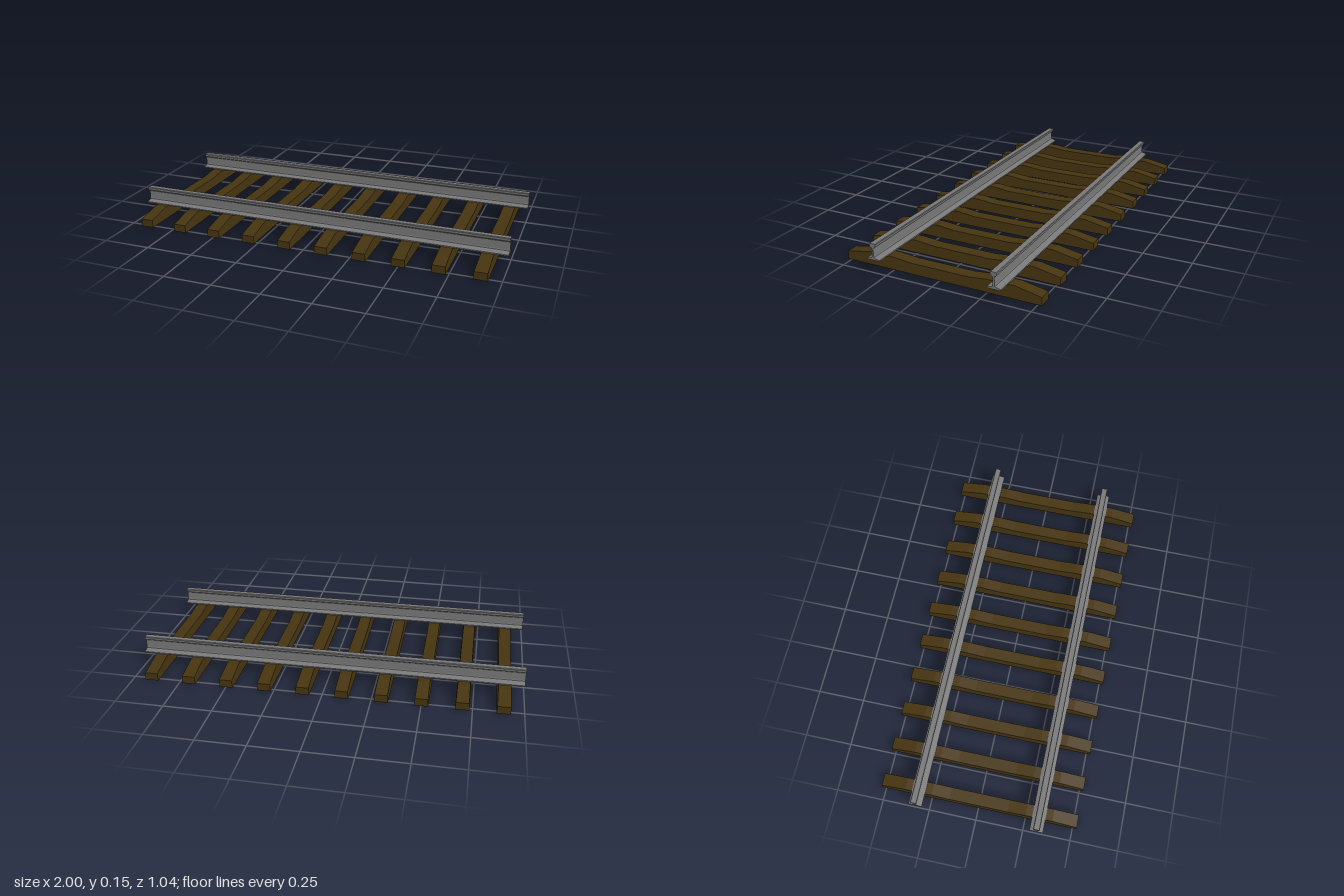
import * as THREE from 'three';

const steel = new THREE.MeshStandardMaterial({ color: 0x787878 });
const wood = new THREE.MeshStandardMaterial({ color: 0x46340f });

// Sweeps a symmetric cross-section (half given as [z, y], bottom to top) along x, centred.
function sweep(half, length) {
  const points = [
    ...half.map(([z, y]) => new THREE.Vector2(z, y)),
    ...half.slice().reverse().map(([z, y]) => new THREE.Vector2(-z, y)),
  ];
  const geometry = new THREE.ExtrudeGeometry(new THREE.Shape(points), { depth: length, bevelEnabled: false });
  return geometry.translate(0, 0, -length / 2).rotateY(Math.PI / 2);
}

export function createModel() {
  const track = new THREE.Group();
  track.name = 'railwayTrack';

  // Rails: wide foot, thin web, rounded head
  const railGeometry = sweep([
    [0.035, 0.065], [0.035, 0.071], [0.011, 0.077], [0.006, 0.08], [0.004, 0.085],
    [0.004, 0.122], [0.006, 0.128], [0.015, 0.134], [0.017, 0.147], [0.014, 0.15],
  ], 2);
  for (const side of [1, -1]) {
    const rail = new THREE.Mesh(railGeometry, steel);
    rail.name = side > 0 ? 'frontRail' : 'backRail';
    rail.position.z = side * 0.319;
    track.add(rail);
  }

  // Sleepers: raised rail seats, dipped middle, sloping ends
  const sleeperGeometry = sweep([
    [0.52, 0], [0.52, 0.04], [0.39, 0.065], [0.25, 0.065], [0.155, 0.055],
  ], 0.07);
  // The flanks lean inwards slightly towards the top
  const position = sleeperGeometry.attributes.position;
  for (let i = 0; i < position.count; i++) {
    position.setX(i, position.getX(i) * (1 - 1.6 * position.getY(i)));
  }
  sleeperGeometry.computeVertexNormals();
  for (let i = 0; i < 10; i++) {
    const sleeper = new THREE.Mesh(sleeperGeometry, wood);
    sleeper.name = `sleeper${i + 1}`;
    sleeper.position.x = -0.9 + i * 0.2;
    track.add(sleeper);
  }
  return track;
}
